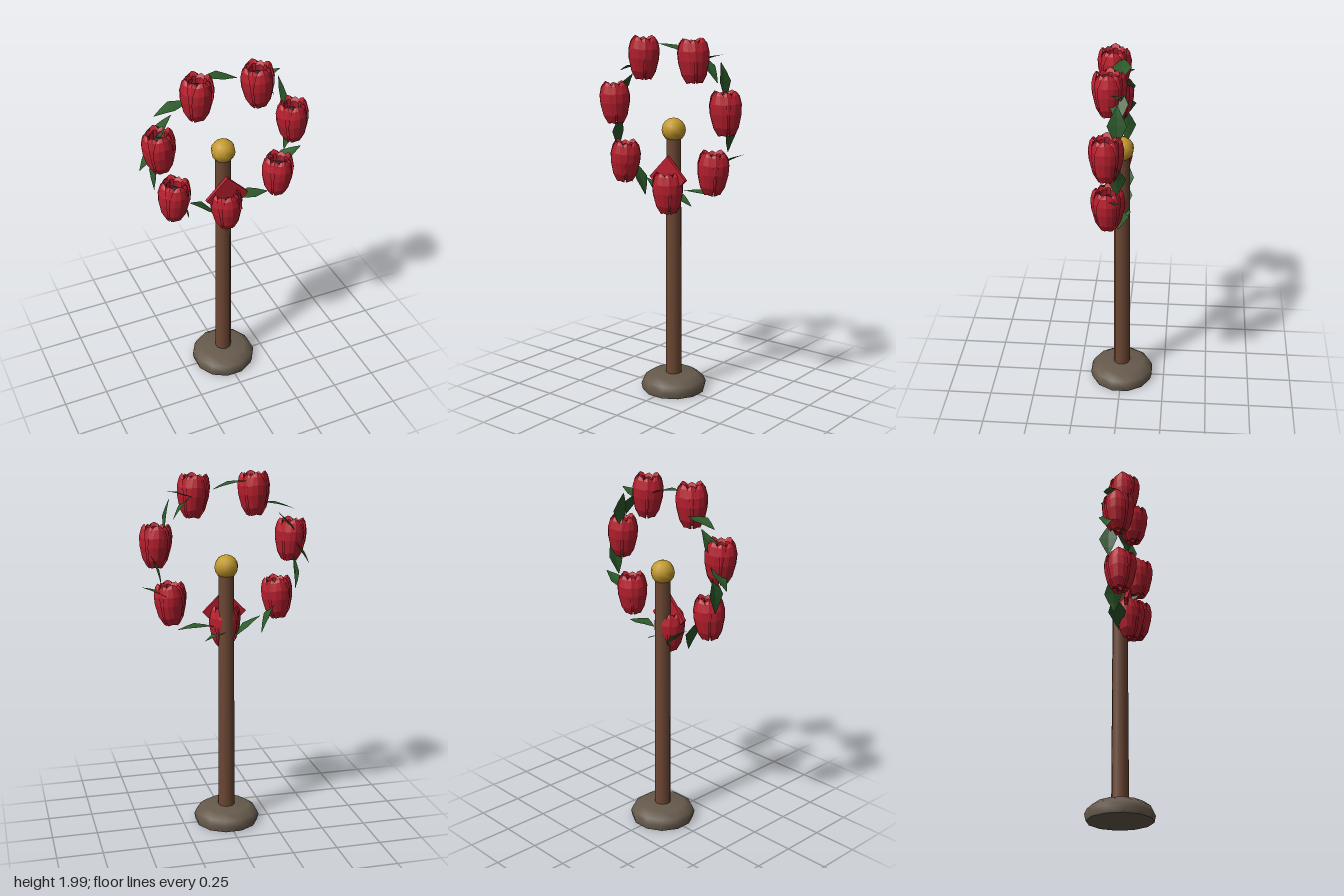
import * as THREE from 'three';

const mat = (name, color, side = THREE.FrontSide) => {
  const m = new THREE.MeshStandardMaterial({ color, side });
  m.name = name;
  return m;
};

// Faceted sheet through rows of equally many [x, y, z] points
function sheet(rows) {
  const n = rows[0].length, index = [];
  for (let i = 0; i < rows.length - 1; i++) {
    for (let j = 0; j < n - 1; j++) {
      const a = i * n + j, b = a + n;
      index.push(a, a + 1, b, a + 1, b + 1, b);
    }
  }
  const g = new THREE.BufferGeometry();
  g.setAttribute('position', new THREE.Float32BufferAttribute(rows.flat(2), 3));
  g.setIndex(index);
  const flat = g.toNonIndexed();
  flat.computeVertexNormals();
  return flat;
}

// Cupped petal facing +z: rows are [height, radius, half width]
function petalGeometry(scale, lift) {
  const profile = [
    [-0.108, 0.015, 0.01], [-0.112, 0.045, 0.03], [-0.07, 0.07, 0.05],
    [0.0, 0.087, 0.062], [0.05, 0.09, 0.06], [0.095, 0.08, 0.042],
    [0.115, 0.066, 0.02], [0.095, 0.05, 0.03], [0.05, 0.055, 0.035],
  ];
  return sheet(profile.map(([y, r, w]) => [-1, -0.5, 0, 0.5, 1].map((s) => {
    const a = s * w / r;
    const rr = r * scale * (1 - 0.06 * Math.abs(s));
    return [Math.sin(a) * rr, y * lift - 0.008 * Math.abs(s), Math.cos(a) * rr];
  })));
}

// Creased diamond leaf along x, its width along z
function leafGeometry() {
  const outline = [[-0.1, 0.002], [-0.05, 0.028], [0, 0.05], [0.05, 0.028], [0.1, 0.002]];
  return sheet(outline.map(([x, w]) => [-1, 0, 1].map((s) =>
    [x, 0.16 * w * Math.abs(s) - 0.8 * x * x, s * w])));
}

export function createModel() {
  const root = new THREE.Group();
  const red = mat('petal red', 0xb71f2e, THREE.DoubleSide);
  const green = mat('leaf green', 0x2d5a2b, THREE.DoubleSide);
  const wood = mat('wood brown', 0x6d4733);
  const stone = mat('stone grey', 0x665a4c);
  const gold = mat('gold', 0xc49a2c);
  const dark = mat('flower centre black', 0x242424);

  const add = (parent, name, geometry, material, x = 0, y = 0, z = 0) => {
    const m = new THREE.Mesh(geometry, material);
    m.name = name;
    m.position.set(x, y, z);
    parent.add(m);
    return m;
  };

  // Stand
  const section = [[0.178, 0], [0.186, 0.035], [0.172, 0.065], [0.13, 0.095], [0, 0.1]]
    .map(([x, y]) => new THREE.Vector2(x, y));
  add(root, 'base', new THREE.LatheGeometry(section, 12), stone).rotation.y = Math.PI / 12;
  const underside = add(root, 'baseUnderside', new THREE.CircleGeometry(0.178, 12), stone);
  underside.rotation.set(Math.PI / 2, 0, Math.PI / 12);
  add(root, 'pole', new THREE.CylinderGeometry(0.042, 0.047, 1.38, 10), wood, 0, 0.76, 0);
  add(root, 'knob', new THREE.SphereGeometry(0.066, 10, 8), gold, 0, 1.49, 0);

  // Wreath flowers
  const outer = petalGeometry(1, 1), inner = petalGeometry(0.88, 0.93);
  const heart = new THREE.SphereGeometry(0.036, 8, 6);
  const tilts = [0.05, 0.06, -0.03, 0.05, -0.06, 0.04, -0.04];
  for (let i = 0; i < 7; i++) {
    const a = (12.5 + i * 360 / 7) * Math.PI / 180;
    const flower = new THREE.Group();
    flower.name = 'flower' + (i + 1);
    flower.position.set(0.385 * Math.cos(a), 1.533 + 0.38 * Math.sin(a), 0.05);
    flower.rotation.z = tilts[i];
    for (let k = 0; k < 4; k++) {
      add(flower, 'outerPetal', outer, red).rotation.y = k * Math.PI / 2;
      add(flower, 'innerPetal', inner, red).rotation.y = (k + 0.5) * Math.PI / 2;
    }
    add(flower, 'flowerCentre', heart, dark, 0, 0.03, 0).scale.y = 1.3;
    root.add(flower);
  }

  // Wreath leaves: [x, y, angle in degrees]
  const leaf = leafGeometry();
  const leaves = [
    [-0.28, 1.82, 12], [-0.02, 1.935, -12], [0.23, 1.84, -50], [0.33, 1.77, -82],
    [0.385, 1.5, 70], [0.37, 1.36, 28], [0.17, 1.165, -2], [0.03, 1.12, -20],
    [-0.11, 1.15, -38], [-0.235, 1.2, -66], [-0.39, 1.45, 84], [-0.41, 1.57, 50],
    [-0.35, 1.7, 55], [0.22, 1.88, 20],
  ];
  for (const [x, y, deg] of leaves) {
    add(root, 'leaf', leaf, green, x, y, 0).rotation.z = deg * Math.PI / 180;
  }

  // Diamond ornament behind the lowest flower
  const diamond = add(root, 'diamond', new THREE.BoxGeometry(0.172, 0.172, 0.02), red, 0, 1.23, 0.05);
  diamond.rotation.z = Math.PI / 4;

  return root;
}
